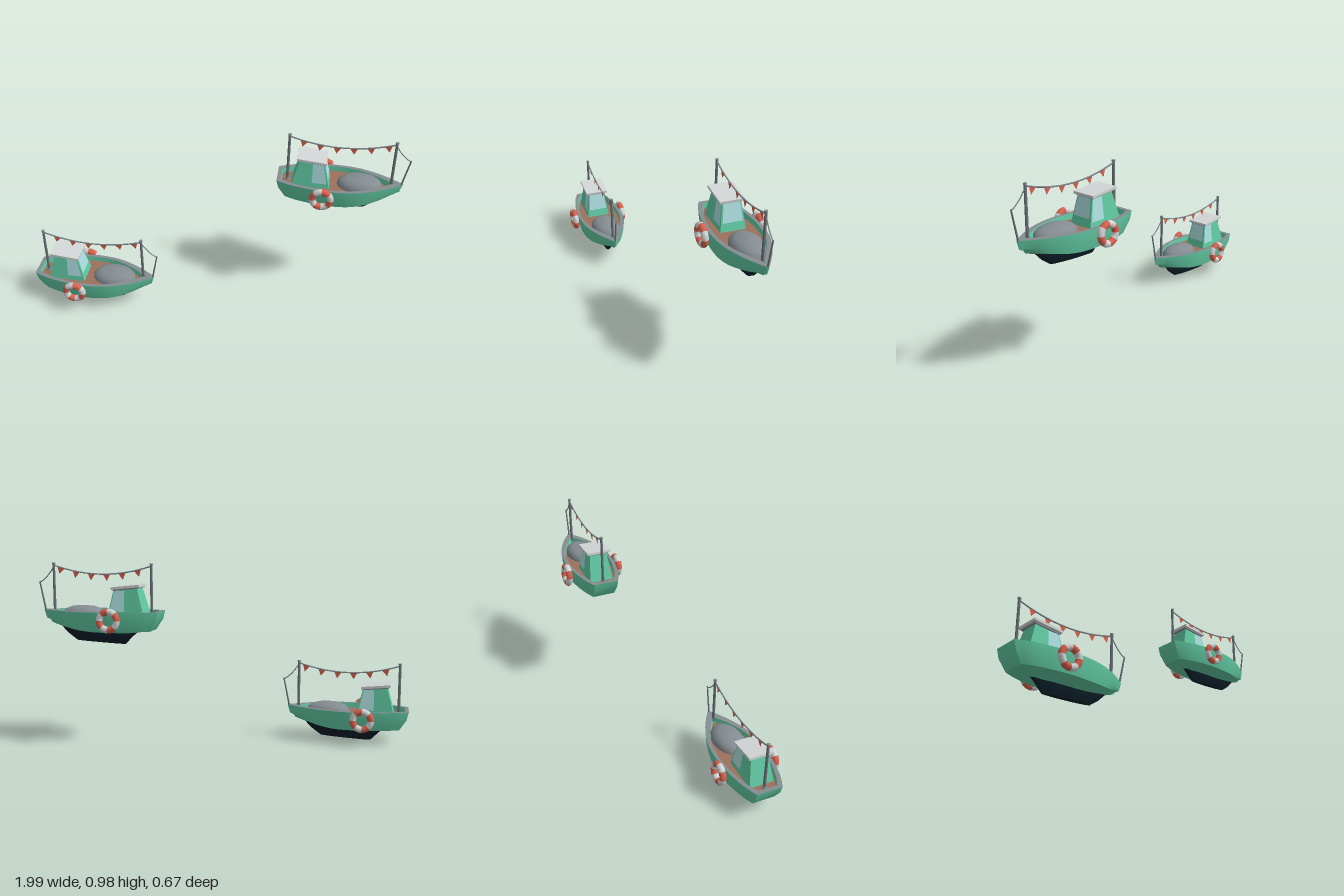
import * as THREE from 'three';
import { toCreasedNormals } from 'three/addons/utils/BufferGeometryUtils.js';

const paint = (name, color, side = THREE.FrontSide) =>
  Object.assign(new THREE.MeshStandardMaterial({ color, side }), { name });

const green = paint('hull green', 0x62cba4);
const dark = paint('keel black', 0x0c1d26);
const brown = paint('deck brown', 0x9b715a);
const grey = paint('grey metal', 0x858d92);
const steel = paint('mast grey', 0x6c757a);
const pale = paint('pale grey', 0xd3d6d6);
const glass = paint('window blue', 0xaee0e2);
const red = paint('coral red', 0xd9624e, THREE.DoubleSide);

function add(parent, name, geometry, material, x = 0, y = 0, z = 0) {
  const mesh = new THREE.Mesh(geometry, material);
  mesh.name = name;
  mesh.position.set(x, y, z);
  parent.add(mesh);
  return mesh;
}

// Closed waterline loop: +z side from stern to bow, then back along -z
const N = 24;
function loop(x0, x1, yAt, halfAt) {
  const left = [], right = [];
  for (let i = 0; i <= N; i++) {
    const t = i / N, x = x0 + (x1 - x0) * t, w = Math.max(0, halfAt(t));
    left.push([x, yAt(t), w]);
    right.unshift([x, yAt(t), -w]);
  }
  return [...left, ...right];
}

// Skin stretched over consecutive loops
function skin(...loops) {
  const pos = [];
  for (let k = 0; k + 1 < loops.length; k++) {
    const a = loops[k], b = loops[k + 1];
    for (let i = 0; i < a.length; i++) {
      const j = (i + 1) % a.length;
      pos.push(...a[i], ...a[j], ...b[j], ...a[i], ...b[j], ...b[i]);
    }
  }
  const g = new THREE.BufferGeometry();
  g.setAttribute('position', new THREE.Float32BufferAttribute(pos, 3));
  return toCreasedNormals(g, 0.5);
}

// Half beam along the length, t = 0 stern to 1 bow
const beam = new THREE.SplineCurve([
  [0, 0.07], [0.11, 0.1], [0.3, 0.127], [0.48, 0.134], [0.66, 0.119],
  [0.82, 0.078], [0.93, 0.036], [1, 0.004],
].map(p => new THREE.Vector2(...p)));
const beamPoints = beam.getPoints(200);
function half(t) {
  const i = Math.max(1, beamPoints.findIndex(p => p.x >= t - 1e-9));
  const a = beamPoints[i - 1], b = beamPoints[i];
  return a.y + (b.y - a.y) * (t - a.x) / (b.x - a.x);
}
const rise = t => Math.max(0, (t - 0.5) * 2) ** 2;

function addHull(boat) {
  const flat = y => () => y;
  const bottom = loop(-0.28, 0.29, t => 0.055 + 0.055 * rise(t) + 0.02 * Math.max(0, 1 - 4 * t), flat(0));
  const chine = loop(-0.285, 0.298, t => 0.077 + 0.048 * rise(t), t => half(t) * 0.87);
  const mid = loop(-0.322, 0.32, flat(0.135), t => half(t) * 0.98);
  const top = loop(-0.333, 0.333, flat(0.18), half);
  const inner = loop(-0.312, 0.298, flat(0.18), t => half(t) - 0.018);
  const floor = loop(-0.308, 0.292, flat(0.152), t => half(t) - 0.021);
  const middle = loop(-0.308, 0.292, flat(0.152), flat(0));
  add(boat, 'hull', skin(bottom, chine, mid, top), green);
  add(boat, 'gunwale', skin(top, inner), grey);
  add(boat, 'bulwark', skin(inner, floor), green);
  add(boat, 'deck', skin(floor, middle), brown);

  // Tapering keel below the hull
  const lens = w => t => w * Math.sqrt(Math.max(0, Math.sin(Math.PI * t)));
  const base = t => 0.015 * t;
  add(boat, 'keel', skin(
    loop(-0.13, 0.145, base, flat(0)),
    loop(-0.13, 0.145, base, lens(0.013)),
    loop(-0.175, 0.2, t => 0.045 + 0.01 * t, lens(0.031)),
    loop(-0.21, 0.24, t => 0.075 + 0.022 * t, lens(0.028)),
  ), dark);
}

// Point on the tapered cabin: u along x, w across z, v up, all 0..1
function cabinPoint(u, v, w) {
  const mix = THREE.MathUtils.lerp;
  const x0 = mix(-0.256, -0.215, v), x1 = mix(-0.052, -0.087, v), h = mix(0.067, 0.048, v);
  return [mix(x0, x1, u), mix(0.15, 0.303, v), mix(-h, h, w)];
}
function panel(corners) {
  const [a, b, c, d] = corners.map(p => cabinPoint(...p));
  const g = new THREE.BufferGeometry();
  g.setAttribute('position', new THREE.Float32BufferAttribute([...a, ...b, ...c, ...a, ...c, ...d], 3));
  g.computeVertexNormals();
  return g;
}

function addCabin(boat) {
  const cabin = new THREE.Group();
  cabin.name = 'cabin';
  boat.add(cabin);
  const ring = v => [[0, v, 1], [1, v, 1], [1, v, 0], [0, v, 0]].map(p => cabinPoint(...p));
  add(cabin, 'cabinWalls', skin(ring(0), ring(1)), green);
  add(cabin, 'frontWindow', panel([[1, 0.3, 0.93], [1, 0.3, 0.07], [1, 0.92, 0.07], [1, 0.92, 0.93]]), glass, 0.002);
  add(cabin, 'leftWindow', panel([[0.54, 0.2, 1], [0.96, 0.2, 1], [0.96, 0.92, 1], [0.54, 0.92, 1]]), glass, 0, 0, 0.002);
  add(cabin, 'rightWindow', panel([[0.96, 0.2, 0], [0.54, 0.2, 0], [0.54, 0.92, 0], [0.96, 0.92, 0]]), glass, 0, 0, -0.002);
  const roof = add(cabin, 'roof', new THREE.BoxGeometry(0.158, 0.013, 0.132), pale, -0.153, 0.31, 0);
  const trim = add(cabin, 'roofTrim', new THREE.BoxGeometry(0.14, 0.008, 0.112), grey, -0.153, 0.3, 0);
  roof.rotation.z = trim.rotation.z = -0.1;
}

function tube(points, radius) {
  const curve = new THREE.QuadraticBezierCurve3(...points.map(p => new THREE.Vector3(p[0], p[1], 0)));
  return [curve, new THREE.TubeGeometry(curve, 16, radius, 5)];
}

function addRigging(boat) {
  for (const [name, x] of [['rearMast', -0.28], ['frontMast', 0.272]]) {
    add(boat, name, new THREE.CylinderGeometry(0.007, 0.008, 0.28, 8), steel, x, 0.292, 0);
    add(boat, name + 'Cap', new THREE.CylinderGeometry(0.009, 0.009, 0.008, 8), grey, x, 0.43, 0);
    add(boat, name + 'Foot', new THREE.CylinderGeometry(0.012, 0.014, 0.01, 8), grey, x, 0.157, 0);
  }
  const pole = add(boat, 'bowPole', new THREE.CylinderGeometry(0.004, 0.005, 0.157, 6), steel, 0.341, 0.254, 0);
  pole.rotation.z = -0.2;
  add(boat, 'bowRope', tube([[0.272, 0.415], [0.31, 0.35], [0.357, 0.325]], 0.003)[1], grey);

  // Sagging line with pennants
  const [line, rope] = tube([[-0.28, 0.42], [-0.004, 0.328], [0.272, 0.42]], 0.004);
  add(boat, 'flagLine', rope, grey);
  const shape = new THREE.Shape([[-0.021, 0], [0, -0.037], [0.021, 0]].map(p => new THREE.Vector2(...p)));
  const flag = new THREE.ShapeGeometry(shape);
  for (let i = 0; i < 6; i++) {
    const t = 0.14 + 0.157 * i, p = line.getPoint(t), d = line.getTangent(t);
    add(boat, 'pennant', flag, red, p.x, p.y, 0).rotation.z = Math.atan2(d.y, d.x);
  }
}

// Life ring of eight alternating segments
function addLifeRing(boat, z) {
  const ring = new THREE.Group();
  ring.name = 'lifeRing';
  ring.position.set(-0.087, 0.14, z);
  ring.rotation.x = 0.04;
  boat.add(ring);
  const arc = new THREE.TorusGeometry(0.048, 0.018, 10, 3, Math.PI / 4);
  for (let k = 0; k < 8; k++) {
    add(ring, 'ringSegment', arc, k % 2 ? red : pale).rotation.z = k * Math.PI / 4;
  }
}

function createBoat() {
  const boat = new THREE.Group();
  boat.name = 'boat';
  addHull(boat);
  addCabin(boat);
  addRigging(boat);
  for (const side of [1, -1]) addLifeRing(boat, side * 0.15);

  // Low covered hatch on the foredeck
  const profile = [[1, 0], [0.98, 0.018], [0.83, 0.036], [0.55, 0.05], [0, 0.055]];
  const cover = add(boat, 'foredeckCover',
    new THREE.LatheGeometry(profile.map(p => new THREE.Vector2(...p)), 16), grey, 0.106, 0.151, 0);
  cover.scale.set(0.12, 1, 0.082);
  return boat;
}

export function createModel() {
  const model = new THREE.Group();
  model.name = 'boats';
  const first = createBoat(), second = createBoat();
  first.position.set(-0.667, 0, 0.168);
  second.position.set(0.635, 0.545, -0.168);
  model.add(first, second);
  return model;
}
